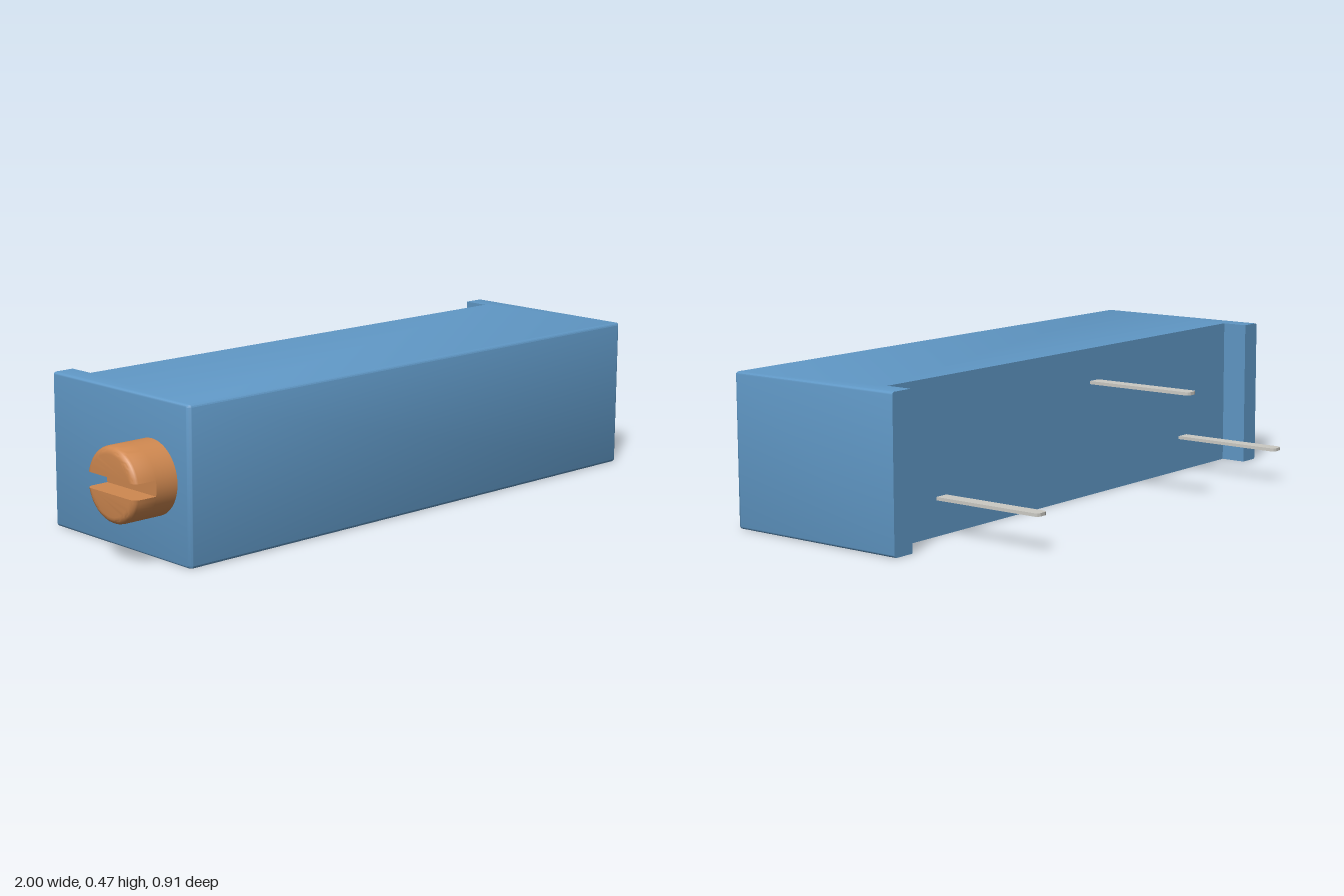
import * as THREE from 'three';
import { toCreasedNormals } from 'three/addons/utils/BufferGeometryUtils.js';

const blue = new THREE.MeshStandardMaterial({ color: 0x6098c6 });
const copper = new THREE.MeshStandardMaterial({ color: 0xcf8850 });
const metal = new THREE.MeshStandardMaterial({ color: 0xcac9c3 });

function part(name, geometry, material) {
  const mesh = new THREE.Mesh(geometry, material);
  mesh.name = name;
  return mesh;
}

// Housing: U-shaped plan with two end lips at the back, softened front and side edges
function housingGeometry() {
  const L = -0.85, R = 1, front = -0.455, back = 0.165, recess = 0.08, inL = -0.78, inR = 0.925;
  const r = 0.014, b = 0.008;
  const s = new THREE.Shape();
  s.moveTo(L, back);
  s.lineTo(L, front + r);
  s.absarc(L + r, front + r, r, Math.PI, Math.PI * 1.5);
  s.absarc(R - r, front + r, r, Math.PI * 1.5, Math.PI * 2);
  s.lineTo(R, back);
  s.lineTo(inR, back);
  s.lineTo(inR, recess);
  s.lineTo(inL, recess);
  s.lineTo(inL, back);
  s.closePath();
  const g = new THREE.ExtrudeGeometry(s, {
    depth: 0.47 - 2 * b, curveSegments: 4,
    bevelSize: b, bevelThickness: b, bevelOffset: -b, bevelSegments: 3,
  });
  // Keep the edges around the back sharp: pull their bevels out to the flat faces
  const p = g.attributes.position;
  const near = (v, t) => Math.abs(v - t) < b * 1.2;
  for (let i = 0; i < p.count; i++) {
    const x = p.getX(i), y = p.getY(i);
    if (near(y, back)) p.setY(i, back);
    if (near(y, recess)) p.setY(i, recess);
    if (near(x, inL)) p.setX(i, inL);
    if (near(x, inR)) p.setX(i, inR);
  }
  g.rotateX(-Math.PI / 2);
  g.translate(0, b, 0);
  return toCreasedNormals(g, 0.6);
}

// Half of the slotted screw head: stacked circular segments with a rounded rim, facing +z
function halfHeadGeometry(radius, slotHalf, length, rim) {
  const rings = [[0, radius]], n = 28, pos = [], idx = [];
  for (let i = 0; i <= 5; i++) {
    const a = (i / 5) * Math.PI / 2;
    rings.push([length - rim + rim * Math.sin(a), radius - rim + rim * Math.cos(a)]);
  }
  for (const [z, r] of rings) {
    const a0 = Math.asin(slotHalf / r);
    for (let j = 0; j < n; j++) {
      const t = a0 + (Math.PI - 2 * a0) * j / (n - 1);
      pos.push(r * Math.cos(t), r * Math.sin(t), z);
    }
  }
  for (let i = 0; i < rings.length - 1; i++) {
    for (let j = 0; j < n; j++) {
      const a = i * n + j, b = i * n + (j + 1) % n;
      idx.push(a, b, b + n, a, b + n, a + n);
    }
  }
  const top = (rings.length - 1) * n;
  for (let j = 1; j < n - 1; j++) idx.push(top, top + j, top + j + 1);
  const g = new THREE.BufferGeometry();
  g.setAttribute('position', new THREE.Float32BufferAttribute(pos, 3));
  g.setIndex(idx);
  return toCreasedNormals(g, 0.6);
}

function createScrew() {
  const screw = new THREE.Group();
  screw.name = 'adjustmentScrew';
  const shank = new THREE.CylinderGeometry(0.112, 0.112, 0.095, 56);
  shank.rotateX(Math.PI / 2);
  shank.translate(0, 0, 0.0275);
  screw.add(part('screwBase', shank, copper));
  for (const turn of [0, Math.PI]) {
    const half = part('screwHeadHalf', halfHeadGeometry(0.112, 0.023, 0.075, 0.022), copper);
    half.position.z = 0.075;
    half.rotation.z = turn;
    screw.add(half);
  }
  screw.rotation.y = -Math.PI / 2;
  screw.position.set(-0.85, 0.237, 0.29);
  return screw;
}

// Flat terminal pin with a rounded tip, pointing to the back
function pinGeometry() {
  const w = 0.0225, r = 0.014, tip = 0.455, t = 0.01;
  const s = new THREE.Shape();
  s.moveTo(-w, 0.06);
  s.lineTo(w, 0.06);
  s.lineTo(w, tip - r);
  s.absarc(w - r, tip - r, r, 0, Math.PI / 2);
  s.absarc(-w + r, tip - r, r, Math.PI / 2, Math.PI);
  s.closePath();
  const g = new THREE.ExtrudeGeometry(s, { depth: t, bevelEnabled: false, curveSegments: 6 });
  g.rotateX(-Math.PI / 2);
  g.translate(0, -t / 2, 0);
  return toCreasedNormals(g, 0.6);
}

export function createModel() {
  const model = new THREE.Group();
  model.name = 'trimmerPotentiometer';
  model.add(part('housing', housingGeometry(), blue));
  model.add(createScrew());
  const pin = pinGeometry();
  for (const [x, y] of [[-0.535, 0.113], [-0.04, 0.361], [0.7, 0.113]]) {
    const mesh = part('terminalPin', pin, metal);
    mesh.position.set(x, y, 0);
    model.add(mesh);
  }
  return model;
}
